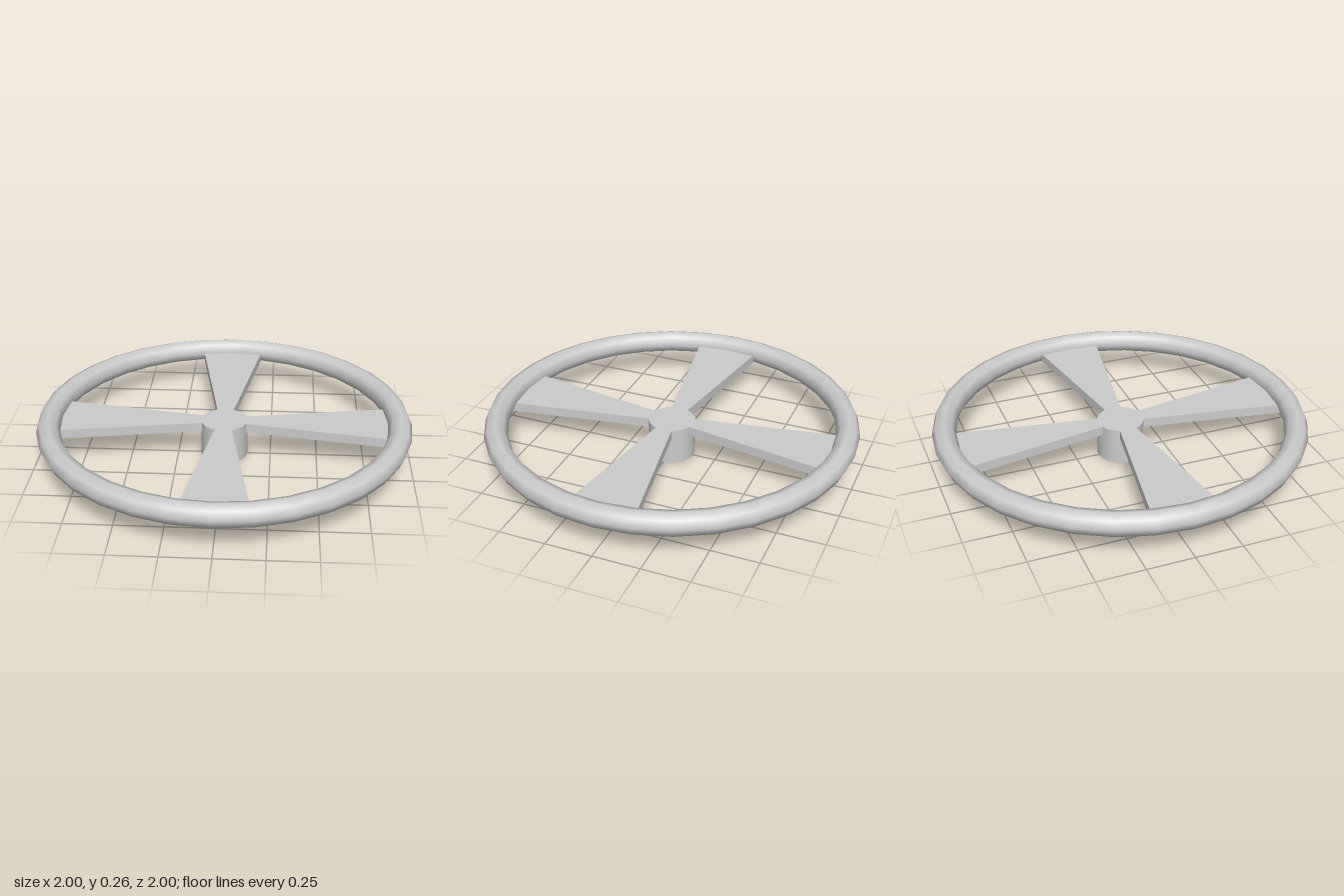
import * as THREE from 'three';

const RIM_Y = 0.2;
const TUBE = 0.0625;
const HUB_RADIUS = 0.125;
const SPOKE_THICKNESS = 0.05;

export function createModel() {
  const wheel = new THREE.Group();
  wheel.name = 'handWheel';
  const grey = new THREE.MeshStandardMaterial({ color: 0xcccccc });
  const greyOpen = new THREE.MeshStandardMaterial({ color: 0xcccccc, side: THREE.DoubleSide });

  const add = (name, geometry, material = grey) => {
    const mesh = new THREE.Mesh(geometry, material);
    mesh.name = name;
    wheel.add(mesh);
    return mesh;
  };

  // Round rim lying flat
  const rim = new THREE.TorusGeometry(1 - TUBE, TUBE, 8, 32);
  rim.rotateX(-Math.PI / 2);
  add('rim', rim).position.y = RIM_Y;

  // Hub: a sleeve open at the bottom, closed flush with the spokes on top
  const sleeve = new THREE.CylinderGeometry(HUB_RADIUS, HUB_RADIUS, RIM_Y, 24, 1, true);
  add('hubSleeve', sleeve, greyOpen).position.y = RIM_Y / 2;
  const cap = new THREE.CircleGeometry(HUB_RADIUS, 24);
  cap.rotateX(-Math.PI / 2);
  add('hubTop', cap, greyOpen).position.y = RIM_Y;

  // Four flat spokes that widen towards the rim and end inside it
  const outline = new THREE.Shape([
    new THREE.Vector2(0.117, -0.045),
    new THREE.Vector2(0.92, -0.18),
    new THREE.Vector2(0.92, 0.18),
    new THREE.Vector2(0.117, 0.045),
  ]);
  const spoke = new THREE.ExtrudeGeometry(outline, { depth: SPOKE_THICKNESS, bevelEnabled: false });
  spoke.rotateX(-Math.PI / 2);
  for (let i = 0; i < 4; i++) {
    const mesh = add(`spoke${i + 1}`, spoke);
    mesh.position.y = RIM_Y - SPOKE_THICKNESS;
    mesh.rotation.y = (i * Math.PI) / 2;
  }

  return wheel;
}
